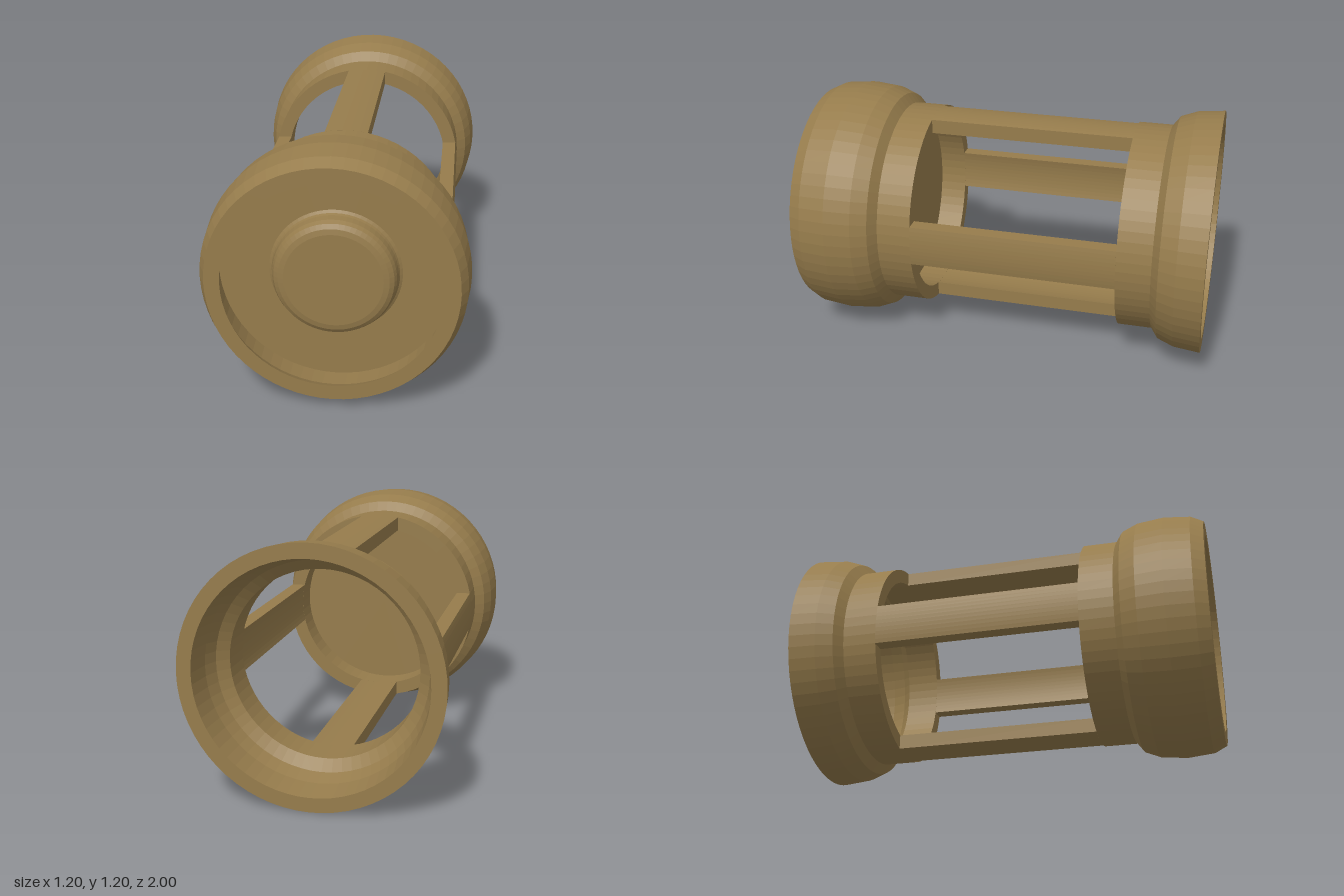
import * as THREE from 'three';

const SEGMENTS = 64;
const OUTER = 0.508; // tube outer radius
const INNER = 0.44;  // tube inner radius

// Faceted solid of revolution about z from [radius, z] pairs
function turned(profile) {
  const points = profile.map(([r, z]) => new THREE.Vector2(r, z));
  const geometry = new THREE.LatheGeometry(points, SEGMENTS).rotateX(Math.PI / 2).toNonIndexed();
  geometry.computeVertexNormals();
  return geometry;
}

// Curved strut with parallel sides, lying on the tube wall
function strutGeometry(halfWidth, zBack, zFront) {
  const a = Math.asin(halfWidth / OUTER);
  const b = Math.asin(halfWidth / INNER);
  const shape = new THREE.Shape();
  shape.absarc(0, 0, OUTER, -a, a, false);
  shape.absarc(0, 0, INNER, b, -b, true);
  shape.closePath();
  return new THREE.ExtrudeGeometry(shape, {
    depth: zFront - zBack, bevelEnabled: false, curveSegments: 5,
  }).translate(0, 0, zBack);
}

export function createModel() {
  const model = new THREE.Group();
  const bronze = new THREE.MeshStandardMaterial({ color: 0x967c4c });
  const body = new THREE.Group();
  body.name = 'cage';
  body.position.y = 0.6;
  model.add(body);

  const add = (name, geometry) => {
    const mesh = new THREE.Mesh(geometry, bronze);
    mesh.name = name;
    body.add(mesh);
    return mesh;
  };

  // Closed front cap with collar and recessed face
  add('frontCap', turned([
    [0, 0.54], [INNER, 0.54], [INNER, 0.405], [OUTER, 0.405], [OUTER, 0.57],
    [0.555, 0.605], [0.585, 0.68], [0.598, 0.81], [0.585, 0.94], [0.555, 1],
    [0.485, 1], [0.515, 0.94], [0.525, 0.83], [0, 0.83],
  ]));

  // Rounded button in the recess
  add('button', turned([
    [0.3, 0.828], [0.285, 0.838], [0.28, 0.85], [0.275, 0.885],
    [0.265, 0.905], [0.245, 0.918], [0.22, 0.923], [0, 0.923],
  ]));

  // Open rear ring, flaring towards the back
  add('rearRing', turned([
    [INNER, -0.59], [INNER, -0.755], [0.49, -0.8], [0.515, -0.87], [0.53, -1],
    [0.598, -1], [0.585, -0.87], [0.555, -0.79], [OUTER, -0.755],
    [OUTER, -0.59], [INNER, -0.59],
  ]));

  // Four struts joining the ends
  const strut = strutGeometry(0.1, -0.59, 0.405);
  ['leftStrut', 'topStrut', 'rightStrut', 'bottomStrut'].forEach((name, i) => {
    add(name, strut).rotation.z = i * Math.PI / 2;
  });

  return model;
}
